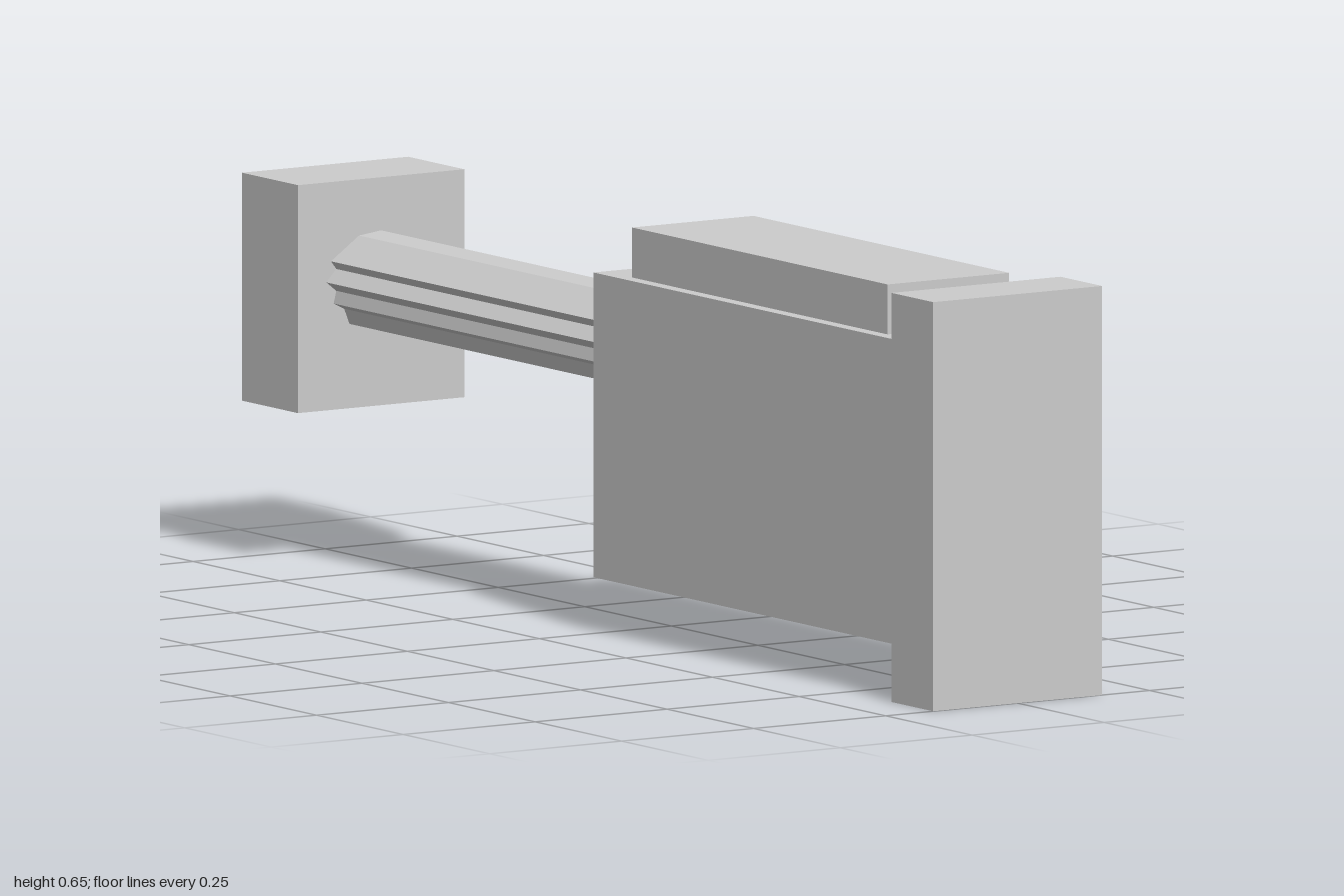
import * as THREE from 'three';

export function createModel() {
  const model = new THREE.Group();
  const grey = new THREE.MeshStandardMaterial({ color: 0xcccccc, flatShading: true, side: THREE.DoubleSide });
  grey.name = 'plain grey';

  const add = (name, geometry) => {
    const mesh = new THREE.Mesh(geometry, grey);
    mesh.name = name;
    model.add(mesh);
    return mesh;
  };
  // Box centred on x, given its y and z ranges
  const block = (name, width, y0, y1, z0, z1) => {
    const mesh = add(name, new THREE.BoxGeometry(width, y1 - y0, z1 - z0));
    mesh.position.set(0, (y0 + y1) / 2, (z0 + z1) / 2);
    return mesh;
  };

  block('frontPlate', 0.32, 0, 0.655, 0.88, 1);
  block('body', 0.273, 0.087, 0.575, -0.017, 0.88);
  block('topCover', 0.23, 0.575, 0.655, 0.062, 0.8);

  // Thin-walled rear cap, open at the back: leave out the -z face
  const cap = block('rearCap', 0.315, 0.25, 0.615, -1, -0.838).geometry;
  cap.setIndex(Array.from(cap.index.array).slice(0, 30));
  cap.clearGroups();

  // Fluted shaft between body and cap
  const outline = [
    [0, 0.53], [-0.042, 0.525], [-0.095, 0.488], [-0.085, 0.475], [-0.104, 0.455],
    [-0.085, 0.44], [-0.09, 0.42], [-0.07, 0.41], [-0.06, 0.385], [-0.03, 0.39],
    [-0.02, 0.375], [0.02, 0.375], [0.03, 0.39], [0.06, 0.385], [0.07, 0.41],
    [0.09, 0.42], [0.085, 0.44], [0.1, 0.455], [0.095, 0.48], [0.025, 0.485],
  ].map(([x, y]) => new THREE.Vector2(x, y));
  const shaft = add('flutedShaft', new THREE.ExtrudeGeometry(new THREE.Shape(outline), {
    depth: 0.821, bevelEnabled: false,
  }));
  shaft.position.z = -0.838;

  return model;
}
